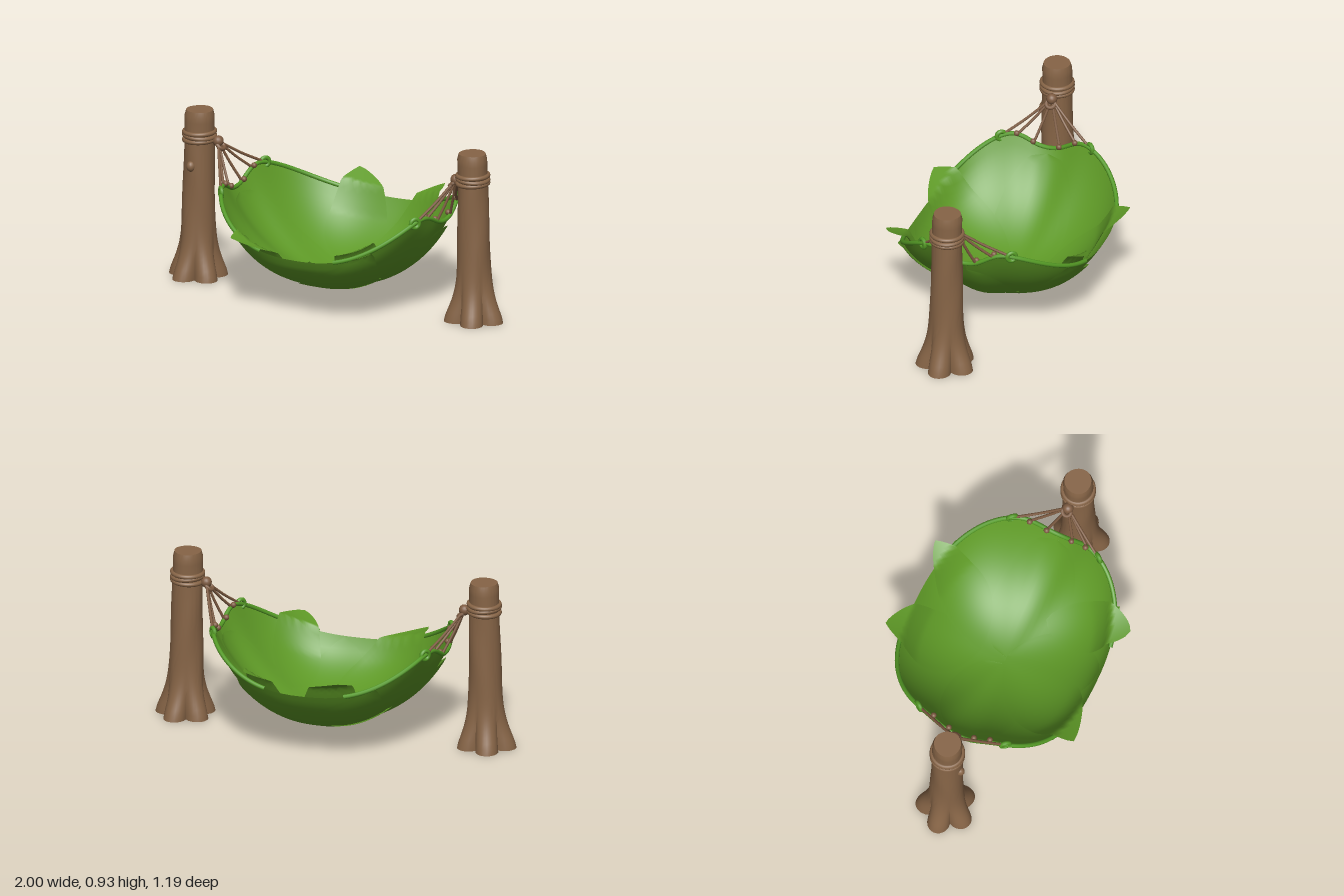
import * as THREE from 'three';
import { mergeVertices, toCreasedNormals } from 'three/addons/utils/BufferGeometryUtils.js';
import { ParametricGeometry } from 'three/addons/geometries/ParametricGeometry.js';

function paint(name, color, side = THREE.FrontSide) {
  const material = new THREE.MeshStandardMaterial({ color, side });
  material.name = name;
  return material;
}
const wood = paint('wood brown', 0x866446);
const rope = paint('rope brown', 0x7d5b41);
const leafGreen = paint('leaf green', 0x5e9926, THREE.DoubleSide);
const rimGreen = paint('stem green', 0x549a25);

const V = (x, y, z) => new THREE.Vector3(x, y, z);
const spow = (v, p) => Math.sign(v) * Math.abs(v) ** p;

function add(parent, name, geometry, material) {
  const mesh = new THREE.Mesh(geometry, material);
  mesh.name = name;
  parent.add(mesh);
  return mesh;
}

// Rim height at angle t (0 = +x, PI/2 = front); dips between the end hooks
function rimHeight(t) {
  const c = Math.cos(t), s = Math.sin(t);
  const fromEnd = Math.asin(Math.min(1, Math.abs(s)));
  return 0.37 + 0.25 * c * c - 0.03 * s - 0.1 * Math.exp(-((fromEnd / 0.2) ** 2));
}

// Point on the bowl above plan position (x, z); each meridian is an arc, steepest at the front
function bowlPoint(x, z, off, tipLift, target) {
  const u = x / 0.63, w = z / 0.53;
  const s = (Math.abs(u) ** 2.5 + Math.abs(w) ** 2.5) ** 0.4;
  const t = Math.atan2(spow(w, 1.25), spow(u, 1.25));
  const arc = 1.1 + 0.28 * Math.max(0, Math.sin(t)) ** 2;
  const a = Math.asin(Math.min(s, 1) * Math.sin(arc));
  const rise = (1 - Math.cos(a)) / (1 - Math.cos(arc));
  const k = 1 - off * 1.8 * Math.sin(a);
  return target.set(
    0.01 + x * k,
    0.09 + (rimHeight(t) - 0.09) * rise + off * Math.cos(a) + tipLift * Math.max(0, s - 0.85) / 0.3,
    z * k + 0.02 * s * Math.cos(t) ** 2);
}

function rimPoint(t) {
  return bowlPoint(0.63 * spow(Math.cos(t), 0.8), 0.53 * spow(Math.sin(t), 0.8), 0, 0, V(0, 0, 0));
}

// Leaf lying on the bowl, from base to tip in plan; small blunt values round off the ends
function leaf(parent, name, base, tip, halfWidth, off, { blunt = 0.8, bend = 0, tipLift = 0 } = {}) {
  const dx = tip[0] - base[0], dz = tip[1] - base[1], len = Math.hypot(dx, dz);
  const geo = new ParametricGeometry((u, v, p) => {
    const along = THREE.MathUtils.clamp(u, 0.0001, 0.9999);
    const w = halfWidth * Math.sin(Math.PI * along) ** blunt * (v * 2 - 1) + bend * Math.sin(Math.PI * along);
    bowlPoint(base[0] + dx * u - dz / len * w, base[1] + dz * u + dx / len * w, off, tipLift, p);
  }, 32, 14);
  geo.computeVertexNormals();
  add(parent, name, geo, leafGreen);
}

function tube(points, radius, segments = 8) {
  return new THREE.TubeGeometry(new THREE.CatmullRomCurve3(points), segments, radius, 8);
}

// Trunk with five rounded roots, the first pointing outwards
function trunkGeometry(side) {
  const height = 0.93;
  const geo = new THREE.CylinderGeometry(1, 1, height, 60, 31);
  geo.deleteAttribute('uv');
  geo.deleteAttribute('normal');
  const p = geo.attributes.position;
  for (let i = 0; i < p.count; i++) {
    const x = p.getX(i), z = p.getZ(i), y = Math.max(0, p.getY(i) + height / 2);
    const phi = Math.atan2(z, x * side);
    const flare = Math.exp(-((y / 0.13) ** 1.5));
    let r = 0.08 + 0.016 * Math.max(0, 1 - y / 0.8)
      + flare * (0.005 + 0.064 * Math.abs(Math.cos(2.5 * phi)) ** 0.8);
    r += 0.0015 * Math.sin(3 * phi + y * 14);
    if (y > 0.92) r -= 0.008;
    p.setXYZ(i, x * r + side * (0.837 - 0.015 * y), y, z * r + 0.05);
  }
  return toCreasedNormals(mergeVertices(geo, 1e-5), 0.9);
}

function buildPost(side) {
  const post = new THREE.Group();
  post.name = side > 0 ? 'leftPost' : 'rightPost';
  add(post, 'trunk', trunkGeometry(side), wood);
  if (side < 0) {
    const stub = add(post, 'branchStub', new THREE.SphereGeometry(0.03, 16, 12), wood);
    stub.scale.set(0.8, 1, 0.9);
    stub.position.set(-0.835, 0.63, 0.128);
  }
  // Rope wound round the trunk
  [[0.765, 0.04], [0.788, -0.06], [0.808, 0.03]].forEach(([y, tilt]) => {
    const ring = add(post, 'ropeWrap', new THREE.TorusGeometry(0.082, 0.0125, 10, 40), wood);
    ring.rotation.set(Math.PI / 2, tilt, 0);
    ring.position.set(side * 0.825, y, 0.05);
  });
  return post;
}

function buildRigging(side) {
  const rig = new THREE.Group();
  rig.name = side > 0 ? 'leftRigging' : 'rightRigging';
  const knotAt = V(side * 0.718, 0.765, 0.04);
  const knot = add(rig, 'knot', new THREE.SphereGeometry(0.03, 16, 12), rope);
  knot.position.copy(knotAt);
  const knotRing = add(rig, 'knotRing', new THREE.TorusGeometry(0.024, 0.011, 8, 20), rope);
  knotRing.position.set(side * 0.703, 0.742, 0.04);
  knotRing.rotation.set(Math.PI / 2, side * 0.7, 0);
  // Ropes fan out to hooks along the rim
  [-0.4, -0.22, -0.07, 0.1, 0.25, 0.42].forEach((a, i) => {
    const end = rimPoint(side > 0 ? a : Math.PI - a);
    const corner = i === 0 || i === 5;
    const mid = knotAt.clone().lerp(end, 0.5).add(V(0, -0.008, 0));
    add(rig, 'rope', tube([knotAt, mid, end], 0.0075), rope);
    if (corner) {
      const hook = add(rig, 'hook', new THREE.TorusGeometry(0.024, 0.012, 8, 20), rimGreen);
      hook.position.copy(end);
      hook.rotation.y = side * Math.sign(a) * 0.9;
    } else {
      const bead = add(rig, 'ropeEnd', new THREE.SphereGeometry(0.016, 12, 8), rope);
      bead.position.copy(end).add(V(-side * 0.012, 0.012, 0));
    }
  });
  return rig;
}

function buildHammock() {
  const bed = new THREE.Group();
  bed.name = 'leafHammock';
  // Main bowl
  const bowl = new ParametricGeometry((u, v, p) => {
    const s = 0.002 + 0.998 * v, t = u * Math.PI * 2;
    bowlPoint(0.63 * s * spow(Math.cos(t), 0.8), 0.53 * s * spow(Math.sin(t), 0.8), 0, 0, p);
  }, 96, 28);
  bowl.computeVertexNormals();
  add(bed, 'bowl', bowl, leafGreen);

  // Leaves lining both faces of the ends
  for (const side of [1, -1]) {
    leaf(bed, 'endLeaf', [side * 0.02, 0], [side * 0.615, 0], 0.21, 0.008, { blunt: 0.4 });
    leaf(bed, 'outerEndLeaf', [side * -0.05, 0], [side * 0.615, 0], 0.19, -0.014, { blunt: 0.4 });
  }
  // Leaves lining the inside, with tips past the rim
  leaf(bed, 'backLeaf', [0.03, -0.14], [-0.22, -0.62], 0.17, 0.016, { tipLift: 0.09, bend: -0.02 });
  leaf(bed, 'backLeaf', [0.0, -0.14], [0.335, -0.585], 0.14, 0.022, { tipLift: 0.07, bend: 0.04 });
  leaf(bed, 'frontLeaf', [0.03, 0.0], [-0.38, 0.59], 0.2, 0.018, { tipLift: 0.03, bend: -0.02 });
  leaf(bed, 'frontLeaf', [0.02, 0.0], [0.08, 0.53], 0.2, 0.014, { blunt: 0.6 });
  leaf(bed, 'frontLeaf', [0.28, 0.11], [0.335, 0.61], 0.13, 0.024, { blunt: 0.6, tipLift: 0.05 });

  // Leaves overlapping on the outside
  leaf(bed, 'outerLeaf', [-0.15, 0.1], [0.42, 0.46], 0.2, -0.012);
  leaf(bed, 'outerLeaf', [0.1, 0.05], [-0.4, 0.46], 0.2, -0.007);
  leaf(bed, 'outerLeaf', [0.1, -0.05], [-0.38, -0.47], 0.22, -0.007);
  leaf(bed, 'outerLeaf', [-0.1, -0.04], [0.38, -0.47], 0.22, -0.012);

  // Rolled stems along both ends of the rim
  for (const start of [0, Math.PI]) {
    const pts = [];
    for (let i = 0; i <= 40; i++) pts.push(rimPoint(start - 1.3 + 2.6 * i / 40));
    add(bed, 'rimStem', tube(pts, 0.012, 100), rimGreen);
  }
  return bed;
}

export function createModel() {
  const model = new THREE.Group();
  model.name = 'leafHammockOnPosts';
  model.add(buildHammock());
  for (const side of [1, -1]) model.add(buildPost(side), buildRigging(side));
  return model;
}
